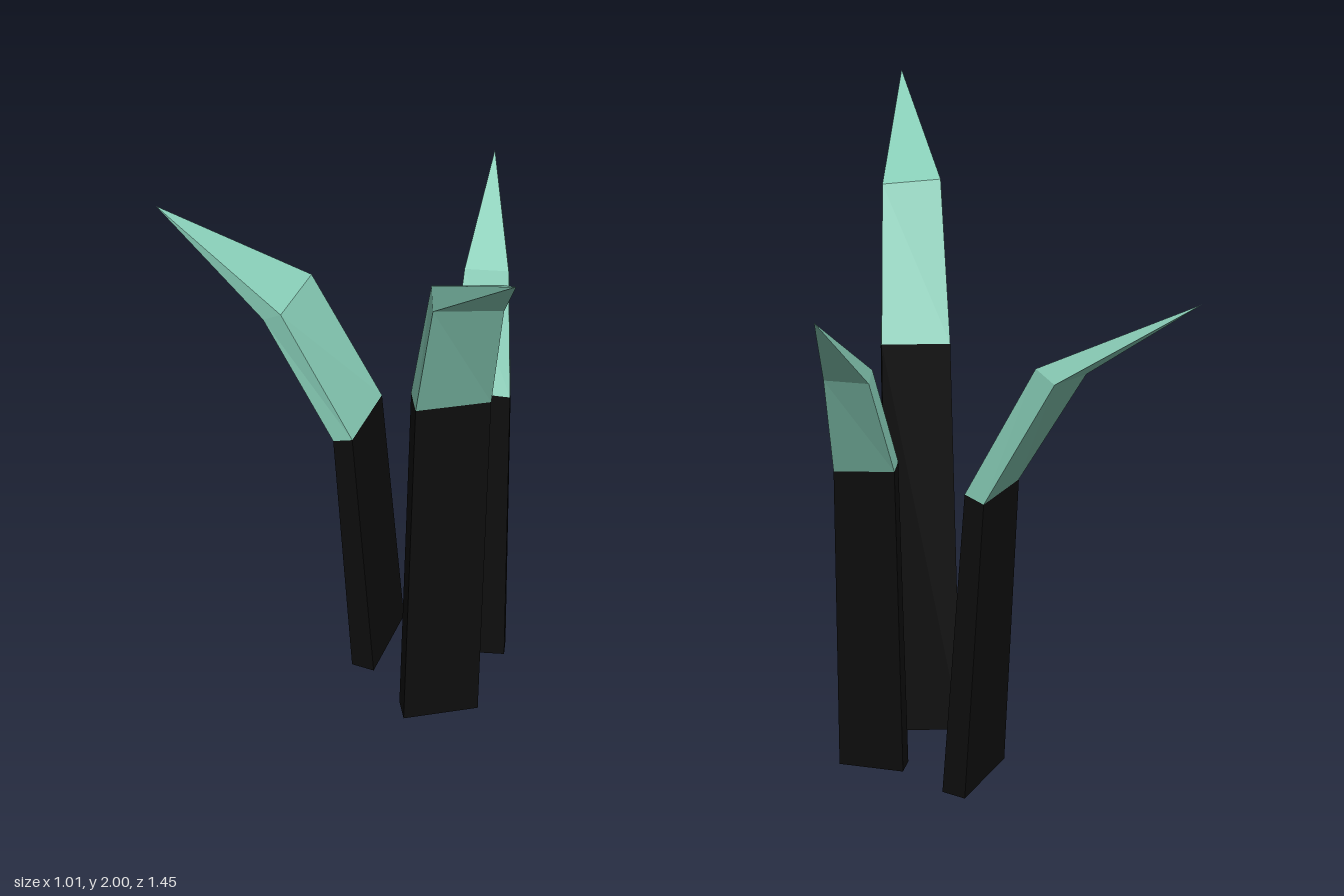
import * as THREE from 'three';

const black = new THREE.MeshStandardMaterial({ color: 0x0d0d0d });
black.name = 'black';
const seaGreen = new THREE.MeshStandardMaterial({ color: 0x86cbb5 });
seaGreen.name = 'seaGreen';

// Each section is a parallelogram given by three corners; the fourth follows.
function section([a, b, c]) {
  return [a, b, c, a.map((v, i) => v + c[i] - b[i])];
}

// Flat-sided skin through four-cornered sections, with optional floor.
function loft(name, sections, material, floor) {
  const p = [];
  const quad = (a, b, c, d) => p.push(...a, ...b, ...c, ...a, ...c, ...d);
  for (let s = 0; s < sections.length - 1; s++) {
    const lo = sections[s], hi = sections[s + 1];
    for (let i = 0; i < 4; i++) {
      const j = (i + 1) % 4;
      if (hi.length === 1) p.push(...lo[i], ...hi[0], ...lo[j]);
      else quad(lo[i], hi[i], hi[j], lo[j]);
    }
  }
  if (floor) quad(...sections[0]);
  const geometry = new THREE.BufferGeometry();
  geometry.setAttribute('position', new THREE.Float32BufferAttribute(p, 3));
  geometry.computeVertexNormals();
  const mesh = new THREE.Mesh(geometry, material);
  mesh.name = name;
  return mesh;
}

// Corners run: inner first, inner second, outer second.
const spikes = [
  {
    name: 'tallSpike',
    base: [[-0.245, 0, 0.06], [-0.05, 0, 0.195], [-0.09, 0, 0.255]],
    joint: [[-0.25, 1.27, 0.137], [-0.08, 1.27, 0.253], [-0.112, 1.25, 0.302]],
    bend: [[-0.34, 1.73, 0.305], [-0.2, 1.715, 0.41], [-0.235, 1.675, 0.45]],
    tip: [-0.507, 2, 0.727],
  },
  {
    name: 'leftSpike',
    base: [[0.14, 0, 0.155], [0.01, 0, 0], [0.06, 0, -0.04]],
    joint: [[0.185, 1.0, 0.105], [0.07, 1.015, -0.033], [0.105, 1.0, -0.062]],
    bend: [[0.295, 1.335, -0.013], [0.215, 1.335, -0.113], [0.245, 1.307, -0.138]],
    tip: [0.505, 1.55, -0.27],
  },
  {
    name: 'backSpike',
    base: [[0.035, 0, -0.205], [-0.21, 0, -0.095], [-0.24, 0, -0.165]],
    joint: [[-0.025, 0.95, -0.22], [-0.235, 0.95, -0.125], [-0.26, 0.93, -0.18]],
    bend: [[-0.125, 1.345, -0.395], [-0.305, 1.325, -0.325], [-0.323, 1.29, -0.383]],
    tip: [-0.402, 1.55, -0.727],
  },
];

export function createModel() {
  const model = new THREE.Group();
  model.name = 'spikes';
  for (const s of spikes) {
    const spike = new THREE.Group();
    spike.name = s.name;
    const base = section(s.base), joint = section(s.joint), bend = section(s.bend);
    // Dark straight shaft below, bent pointed blade above
    spike.add(loft('shaft', [base, joint], black, true));
    spike.add(loft('blade', [joint, bend, [s.tip]], seaGreen, false));
    model.add(spike);
  }
  return model;
}
